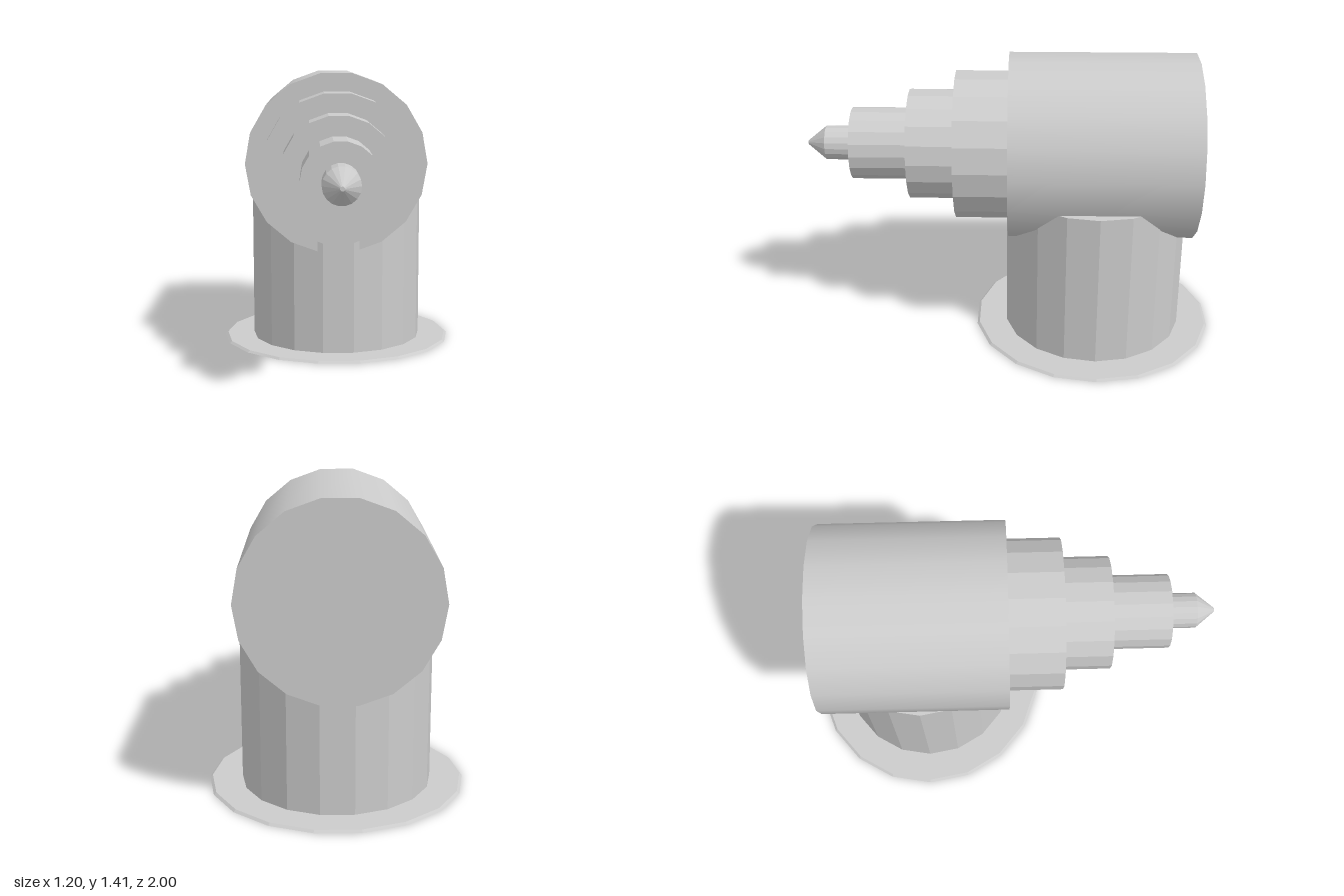
import * as THREE from 'three';

const SIDES = 18;
const AXIS_X = -0.01, AXIS_Y = 0.967, BASE_Z = -0.408;

const smooth = new THREE.MeshStandardMaterial({ color: 0xcccccc });
const faceted = new THREE.MeshStandardMaterial({ color: 0xcccccc, flatShading: true });

// 18-sided cylinder with corners on the +x and -x axes
function prism(name, rTop, rBottom, height, material) {
  const geometry = new THREE.CylinderGeometry(rTop, rBottom, height, SIDES, 1, false, Math.PI / 2);
  const mesh = new THREE.Mesh(geometry, material);
  mesh.name = name;
  return mesh;
}

// Upright part standing between two heights
function upright(name, rTop, rBottom, y0, y1) {
  const mesh = prism(name, rTop, rBottom, y1 - y0, faceted);
  mesh.position.set(0, (y0 + y1) / 2, BASE_Z);
  return mesh;
}

// Horizontal part running from back to front along the barrel axis
function along(name, rFront, rBack, z0, z1, material = faceted) {
  const mesh = prism(name, rFront, rBack, z1 - z0, material);
  mesh.rotation.x = Math.PI / 2;
  mesh.position.set(AXIS_X, AXIS_Y, (z0 + z1) / 2);
  return mesh;
}

export function createModel() {
  const model = new THREE.Group();
  model.name = 'steppedBarrelOnStand';

  // Stand: thin bevelled disc and column
  model.add(upright('baseDisc', 0.588, 0.6, 0, 0.01));
  model.add(upright('column', 0.445, 0.445, 0.01, 0.785));

  // Main barrel, smooth along its side
  model.add(along('barrel', 0.45, 0.45, -0.87, 0.02, smooth));

  // Steps narrowing toward the front
  const steps = [[0.36, 0.02, 0.275], [0.267, 0.275, 0.5], [0.175, 0.5, 0.78]];
  steps.forEach(([r, z0, z1], i) => model.add(along(`step${i + 1}`, r, r, z0, z1)));

  // Pin with a blunt conical tip
  model.add(along('pin', 0.083, 0.083, 0.78, 0.91));
  model.add(along('pinTip', 0.01, 0.083, 0.91, 1));

  return model;
}
